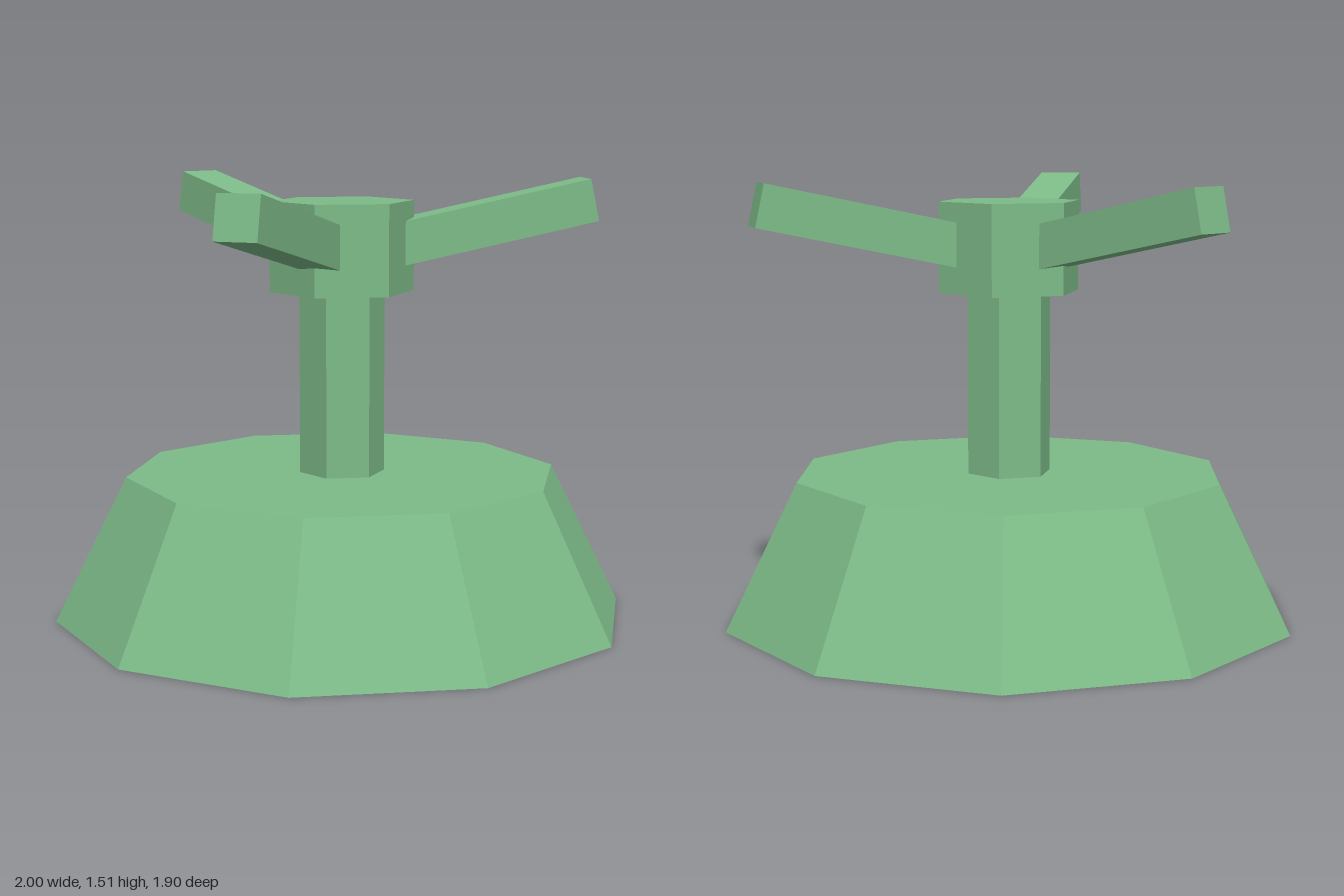
import * as THREE from 'three';

export function createModel() {
  const model = new THREE.Group();
  const green = new THREE.MeshStandardMaterial({ color: 0x7dbb88, flatShading: true });
  green.name = 'soft green';

  // Upright prism or frustum with a corner pointing along +x
  function prism(name, topRadius, bottomRadius, y0, y1, sides) {
    const geometry = new THREE.CylinderGeometry(topRadius, bottomRadius, y1 - y0, sides);
    geometry.rotateY(Math.PI / 2);
    geometry.translate(0, (y0 + y1) / 2, 0);
    const mesh = new THREE.Mesh(geometry, green);
    mesh.name = name;
    model.add(mesh);
  }

  prism('base', 0.75, 1, 0, 0.5, 10);
  prism('post', 0.148, 0.148, 0.5, 1.13, 6);
  prism('hub', 0.25, 0.25, 1.13, 1.44, 6);

  // Three square arms rising outward from the hub
  const tilt = THREE.MathUtils.degToRad(12);
  const length = 0.82;
  const armGeometry = new THREE.BoxGeometry(length, 0.148, 0.148);
  armGeometry.translate(-length / 2, 0, 0); // tip at the origin
  armGeometry.rotateZ(tilt);
  armGeometry.translate(0.87, 1.438, 0);
  for (let i = 0; i < 3; i++) {
    const arm = new THREE.Mesh(armGeometry, green);
    arm.name = `arm${i + 1}`;
    arm.rotation.y = (i * Math.PI * 2) / 3;
    model.add(arm);
  }

  return model;
}
